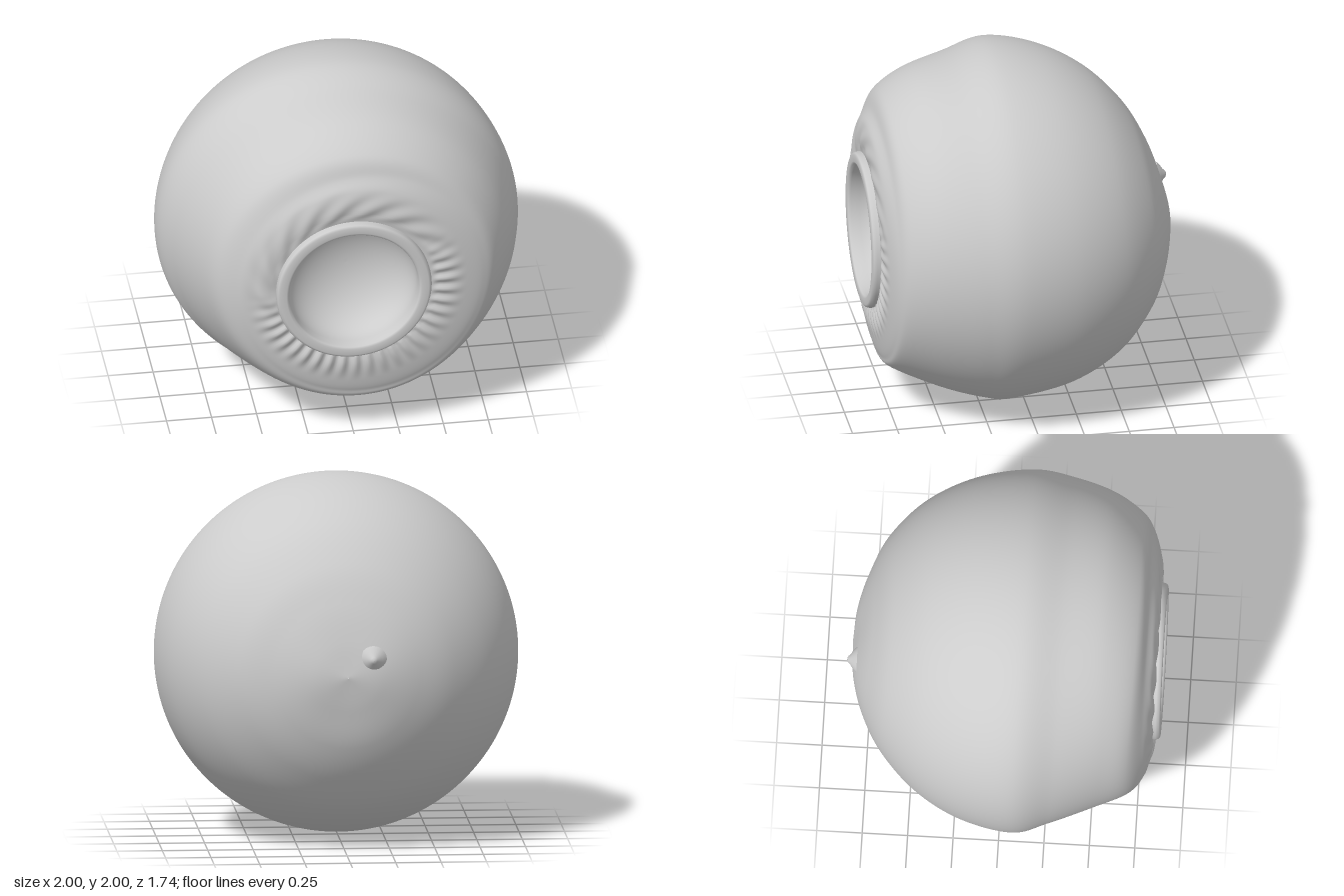
import * as THREE from 'three';
import { ParametricGeometry } from 'three/addons/geometries/ParametricGeometry.js';

// Half profiles as [radius, z] from the back pole to the collar, one per side.
const curve = (pts) =>
  new THREE.CatmullRomCurve3(pts.map(([r, z]) => new THREE.Vector3(r, 0, z)), false, 'catmullrom', 0.5);

const toLeft = curve([[0.001, -0.845], [0.2, -0.83], [0.4, -0.775], [0.6, -0.68], [0.8, -0.49], [0.94, -0.22], [1, 0.1],
  [0.97, 0.33], [0.9, 0.54], [0.8, 0.71], [0.72, 0.775], [0.6, 0.815], [0.5, 0.83], [0.4, 0.825]]);
const toTop = curve([[0.001, -0.845], [0.2, -0.8], [0.4, -0.73], [0.6, -0.62], [0.8, -0.43], [0.94, -0.18], [1, 0.1],
  [0.95, 0.33], [0.89, 0.56], [0.78, 0.73], [0.67, 0.785], [0.6, 0.825], [0.5, 0.84], [0.4, 0.825]]);
const toRight = curve([[0.001, -0.845], [0.2, -0.83], [0.4, -0.765], [0.6, -0.65], [0.8, -0.45], [0.94, -0.2], [1, 0.08],
  [0.93, 0.3], [0.83, 0.54], [0.75, 0.7], [0.64, 0.785], [0.56, 0.815], [0.5, 0.83], [0.4, 0.825]]);
const toBottom = curve([[0.001, -0.845], [0.2, -0.82], [0.4, -0.775], [0.6, -0.67], [0.8, -0.49], [0.94, -0.23], [1, 0.1],
  [0.98, 0.23], [0.9, 0.47], [0.77, 0.75], [0.7, 0.8], [0.6, 0.825], [0.5, 0.84], [0.4, 0.825]]);

const smooth = THREE.MathUtils.smoothstep;

// Blends the four profiles around the z axis and adds the pleats by the collar.
function bodyPoint(u, v, target) {
  const a = u * Math.PI * 2;
  const [l, t, r, b] = [toLeft, toTop, toRight, toBottom].map((c) => c.getPoint(v));
  const blend = (k) => (l[k] + t[k] + r[k] + b[k]) / 4 + (l[k] - r[k]) / 2 * Math.cos(a)
    + (t[k] - b[k]) / 2 * Math.sin(a) + (l[k] + r[k] - t[k] - b[k]) / 4 * Math.cos(2 * a);
  const radius = blend('x');
  let z = blend('z');
  if (z > 0.6) {
    const band = smooth(radius, 0.42, 0.47) * (1 - smooth(radius, 0.5, 0.63));
    const lower = smooth(-Math.sin(a - 0.3), -0.3, 0.3);
    z += band * (0.007 * lower * Math.cos(44 * a)
      + 0.005 * (1 - lower) * Math.cos(17 * a + 40 * radius));
  }
  target.set(radius * Math.cos(a), 1 + radius * Math.sin(a), z);
}

export function createModel() {
  const model = new THREE.Group();
  const grey = new THREE.MeshStandardMaterial({ color: 0xcccccc });
  grey.name = 'light grey';

  const add = (name, geometry, x, y, z, tilt) => {
    const mesh = new THREE.Mesh(geometry, grey);
    mesh.name = name;
    mesh.position.set(x, y, z);
    mesh.rotation.x = tilt;
    model.add(mesh);
  };
  const points = (list) => list.map(([x, y]) => new THREE.Vector2(x, y));

  // Round body, flattened towards the front
  add('body', new ParametricGeometry(bodyPoint, 288, 110), 0, 0, 0, 0);

  // Raised collar around the opening
  add('collar', new THREE.LatheGeometry(points([[0.43, 0.78], [0.432, 0.845], [0.426, 0.863], [0.413, 0.87],
    [0.378, 0.87], [0.366, 0.864], [0.36, 0.85], [0.358, 0.8]]), 96), -0.01, 0.985, 0, Math.PI / 2);

  // Hollow bowl inside the collar
  const bowl = [];
  for (let i = 0; i <= 20; i++) {
    const a = i / 20 * Math.PI / 2;
    bowl.push([0.358 * Math.cos(a), 0.8 - 0.24 * Math.sin(a)]);
  }
  add('bowl', new THREE.LatheGeometry(points(bowl), 96), -0.01, 0.985, 0, Math.PI / 2);

  // Small pinched nub at the back
  add('nub', new THREE.LatheGeometry(points([[0.075, -0.02], [0.05, 0.003], [0.03, 0.016], [0.018, 0.029],
    [0.008, 0.034], [0, 0.035]]), 24), -0.14, 1.1, -0.833, -Math.PI / 2);

  return model;
}
